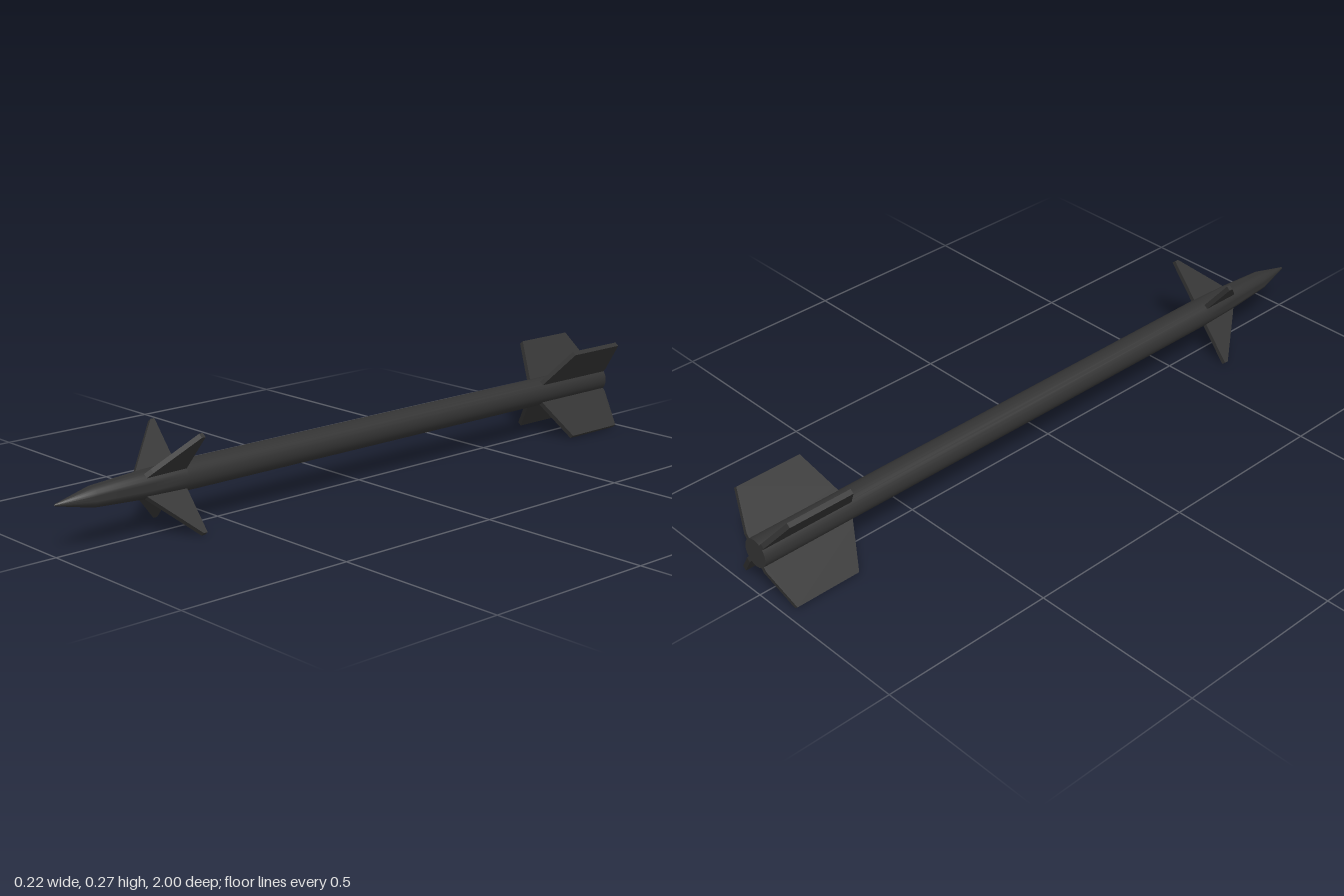
import * as THREE from 'three';
import { toCreasedNormals } from 'three/addons/utils/BufferGeometryUtils.js';

const AXIS_Y = 0.134;
const FIN_ANGLE = THREE.MathUtils.degToRad(50.3);
const FIN_THICKNESS = 0.014;

// Flat fin outline given as [distance from axis, z], laid out in the x-z plane
function finGeometry(outline) {
  const shape = new THREE.Shape(outline.map(([s, z]) => new THREE.Vector2(s, z)));
  const geo = new THREE.ExtrudeGeometry(shape, { depth: FIN_THICKNESS, bevelEnabled: false });
  geo.translate(0, 0, -FIN_THICKNESS / 2);
  geo.rotateX(Math.PI / 2);
  return geo;
}

export function createModel() {
  const group = new THREE.Group();
  const material = new THREE.MeshStandardMaterial({ color: 0x333333 });

  // Tube body with tapered nose and flat tail
  const profile = [
    [0, -1], [0.041, -1], [0.041, 0.62], [0.038, 0.73], [0.028, 0.89], [0.003, 0.996], [0, 1],
  ].map(([r, z]) => new THREE.Vector2(r, z));
  const bodyGeo = toCreasedNormals(new THREE.LatheGeometry(profile, 24), 0.6);
  bodyGeo.rotateX(Math.PI / 2);
  const body = new THREE.Mesh(bodyGeo, material);
  body.name = 'body';
  body.position.y = AXIS_Y;
  group.add(body);

  // Four fins in an X at the nose and four at the tail
  const sets = {
    frontFin: finGeometry([[0.02, 0.62], [0.167, 0.62], [0.167, 0.632], [0.053, 0.73], [0.02, 0.757]]),
    tailFin: finGeometry([[0.02, -1], [0.053, -1], [0.167, -0.968], [0.167, -0.772], [0.053, -0.725], [0.02, -0.712]]),
  };
  const angles = [FIN_ANGLE, Math.PI - FIN_ANGLE, Math.PI + FIN_ANGLE, -FIN_ANGLE];
  const places = ['UpperLeft', 'UpperRight', 'LowerRight', 'LowerLeft'];
  for (const [name, geo] of Object.entries(sets)) {
    angles.forEach((angle, i) => {
      const fin = new THREE.Mesh(geo, material);
      fin.name = name + places[i];
      fin.position.y = AXIS_Y;
      fin.rotation.z = angle;
      group.add(fin);
    });
  }
  return group;
}
